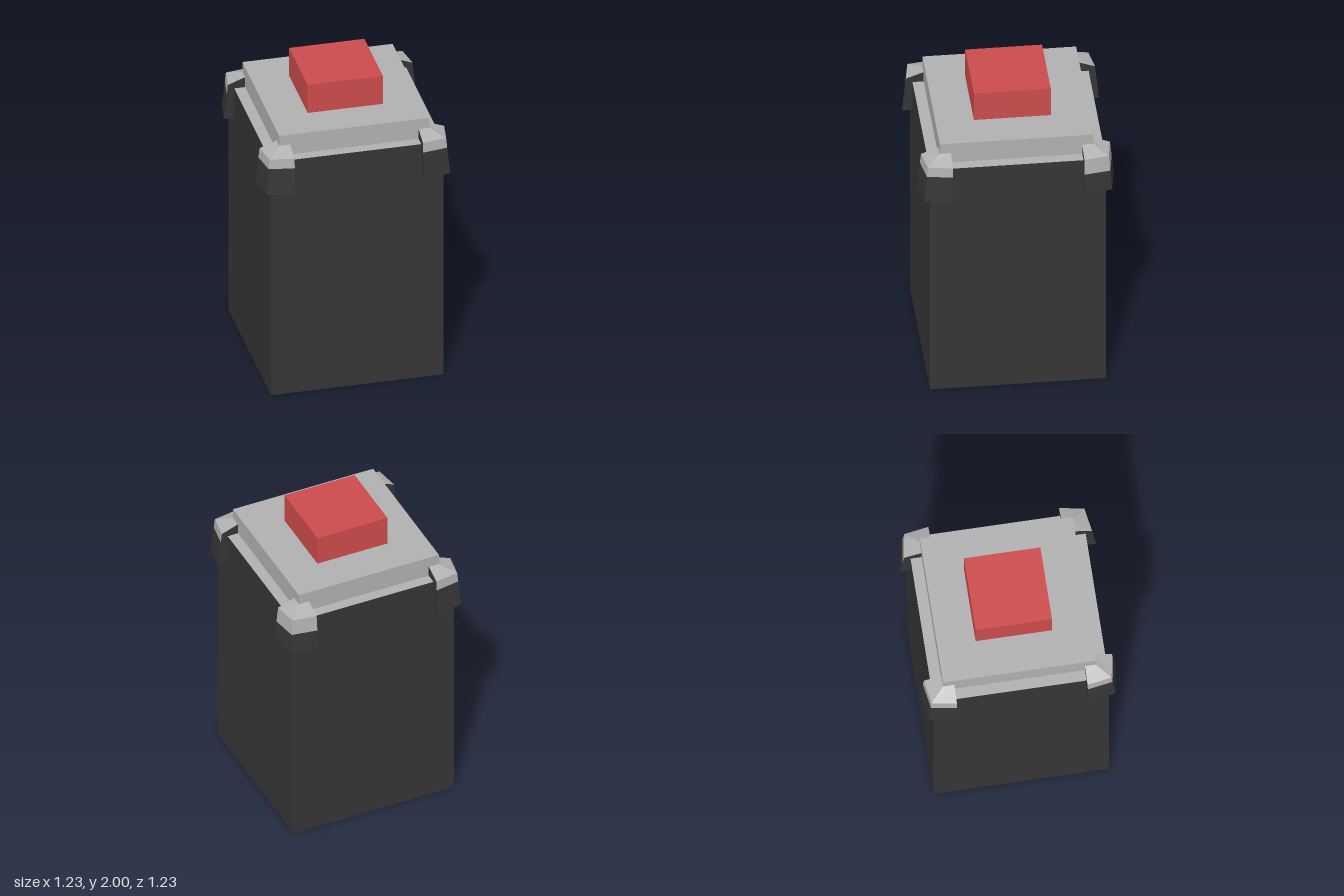
import * as THREE from 'three';

const material = (name, color) => Object.assign(new THREE.MeshStandardMaterial({ color }), { name });

// Flat-shaded geometry from a list of four-cornered faces
function quadGeometry(quads) {
  const points = quads.flatMap(([a, b, c, d]) => [a, b, c, a, c, d]);
  const geometry = new THREE.BufferGeometry();
  geometry.setAttribute('position', new THREE.Float32BufferAttribute(points.flat(), 3));
  geometry.computeVertexNormals();
  return geometry;
}

// L-shaped clamp wrapped round the +x +z corner; band is the height where light meets dark
function createClamp(band, light, dark) {
  const t = (1.69 - band) / 0.24;
  // Section from the top inner edge outward, down and back in: [y, reach at ends, reach at corner]
  const section = [
    [1.73, 0.48, 0.48],
    [1.69, 0.59, 0.565],
    [band, 0.59 + 0.025 * t, 0.565 + 0.02 * t],
    [1.45, 0.615, 0.585],
    [1.45, 0.55, 0.55],
    [1.66, 0.55, 0.55],
    [1.66, 0.48, 0.48],
  ];
  const loops = [
    section.map(([y, end]) => [0.41, y, end]),
    section.map(([y, , corner]) => [corner, y, corner]),
    section.map(([y, end]) => [end, y, 0.41]),
  ];
  const strip = (row) => [0, 1].map((s) =>
    [loops[s][row + 1], loops[s + 1][row + 1], loops[s + 1][row], loops[s][row]]);
  const cap = (loop, order) => order.map((face) => face.map((i) => loop[i]));

  const clamp = new THREE.Group();
  const top = new THREE.Mesh(quadGeometry([...strip(0), ...strip(1)]), light);
  top.name = 'clampTop';
  const legs = new THREE.Mesh(quadGeometry([
    ...strip(2), ...strip(3),
    ...cap(loops[0], [[6, 5, 1, 0], [5, 4, 3, 1]]),
    ...cap(loops[2], [[0, 1, 5, 6], [1, 3, 4, 5]]),
  ]), dark);
  legs.name = 'clampLegs';
  clamp.add(top, legs);
  return clamp;
}

export function createModel() {
  const dark = material('charcoal', 0x353535);
  const light = material('lightGrey', 0xb0b0b0);
  const red = material('red', 0xcc4b4b);
  const model = new THREE.Group();
  model.name = 'buttonPedestal';

  const addBox = (name, width, bottom, top, mat) => {
    const mesh = new THREE.Mesh(new THREE.BoxGeometry(width, top - bottom, width), mat);
    mesh.position.y = (bottom + top) / 2;
    mesh.name = name;
    model.add(mesh);
  };

  // Pedestal with a light top face, then the plate and the button
  addBox('pedestal', 1.1, 0, 1.66, [dark, dark, light, dark, dark, dark]);
  addBox('plate', 0.96, 1.66, 1.8, light);
  addBox('button', 0.48, 1.8, 2, red);

  // Corner clamps; the back one on the +x side has a deeper light band
  ['frontLeft', 'backLeft', 'backRight', 'frontRight'].forEach((corner, i) => {
    const clamp = createClamp(i === 1 ? 1.585 : 1.625, light, dark);
    clamp.rotation.y = i * Math.PI / 2;
    clamp.name = corner + 'Clamp';
    model.add(clamp);
  });
  return model;
}
